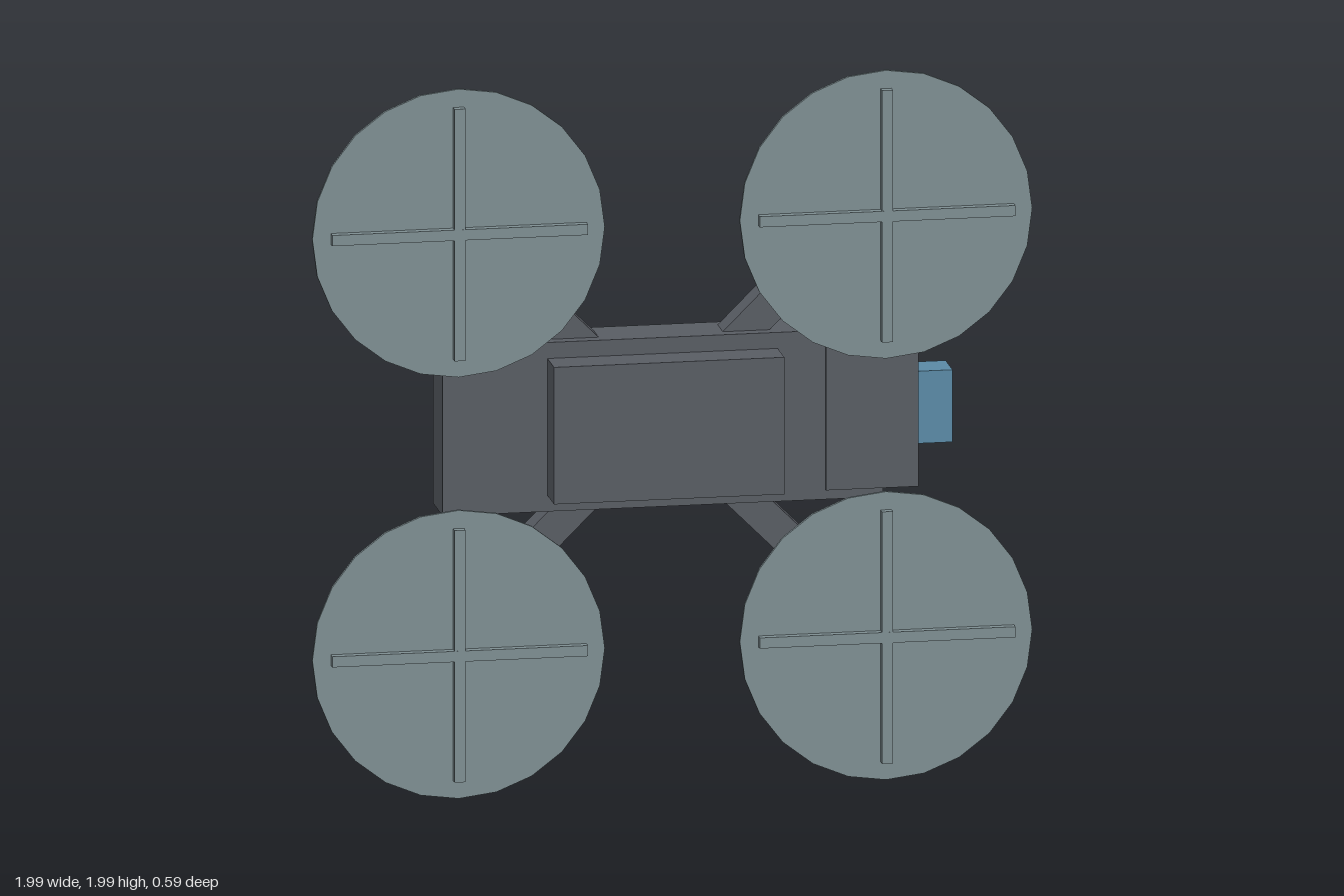
import * as THREE from 'three';

const darkGrey = new THREE.MeshStandardMaterial({ name: 'darkGrey', color: 0x5a5e65 });
const paleGrey = new THREE.MeshStandardMaterial({ name: 'paleGrey', color: 0x809094 });
const lensBlue = new THREE.MeshStandardMaterial({ name: 'lensBlue', color: 0x5c8ca8 });

function add(parent, name, geometry, material, x, y, z) {
  const mesh = new THREE.Mesh(geometry, material);
  mesh.name = name;
  mesh.position.set(x, y, z);
  parent.add(mesh);
  return mesh;
}

// Box given by its minimum and maximum on each axis
function box(parent, name, material, [x0, x1], [y0, y1], [z0, z1]) {
  return add(parent, name, new THREE.BoxGeometry(x1 - x0, y1 - y0, z1 - z0), material,
    (x0 + x1) / 2, (y0 + y1) / 2, (z0 + z1) / 2);
}

// Cylinder whose axis runs along z
function disc(parent, name, material, radius, z0, z1) {
  const geometry = new THREE.CylinderGeometry(radius, radius, z1 - z0, 24).rotateX(Math.PI / 2);
  return add(parent, name, geometry, material, 0, 0, (z0 + z1) / 2);
}

export function createModel() {
  const model = new THREE.Group();
  model.name = 'quadcopter';

  // Fuselage
  box(model, 'body', darkGrey, [-0.61, 0.61], [0.765, 1.24], [-0.022, 0.124]);
  box(model, 'battery', darkGrey, [-0.32, 0.318], [0.81, 1.195], [0.124, 0.225]);
  box(model, 'nose', darkGrey, [0.45, 0.705], [0.793, 1.212], [-0.052, 0.136]);
  box(model, 'camera', lensBlue, [0.705, 0.808], [0.902, 1.105], [-0.015, 0.091]);
  box(model, 'payload', paleGrey, [-0.375, 0.112], [0.877, 1.128], [-0.295, -0.059]);

  // Four arms, each with a motor and a rotor
  for (const sx of [-1, 1]) {
    for (const sy of [-1, 1]) {
      const rotor = new THREE.Group();
      rotor.name = (sy > 0 ? 'upper' : 'lower') + (sx > 0 ? 'Left' : 'Right') + 'Rotor';
      rotor.position.set(sx * 0.592, 1.003 + sy * 0.592, 0);
      model.add(rotor);

      const length = 0.75;
      const inset = (length / 2 - 0.06) * Math.SQRT1_2;
      const arm = add(rotor, 'arm', new THREE.BoxGeometry(length, 0.092, 0.08), darkGrey,
        -sx * inset, -sy * inset, 0.05);
      arm.rotation.z = sx * sy * Math.PI / 4;

      disc(rotor, 'motor', darkGrey, 0.121, 0.06, 0.237);
      disc(rotor, 'rotorDisc', paleGrey, 0.405, 0.258, 0.268);
      box(rotor, 'horizontalBlade', paleGrey, [-0.354, 0.354], [-0.015, 0.015], [0.267, 0.291]);
      box(rotor, 'verticalBlade', paleGrey, [-0.015, 0.015], [-0.354, 0.354], [0.267, 0.2905]);
    }
  }
  return model;
}
